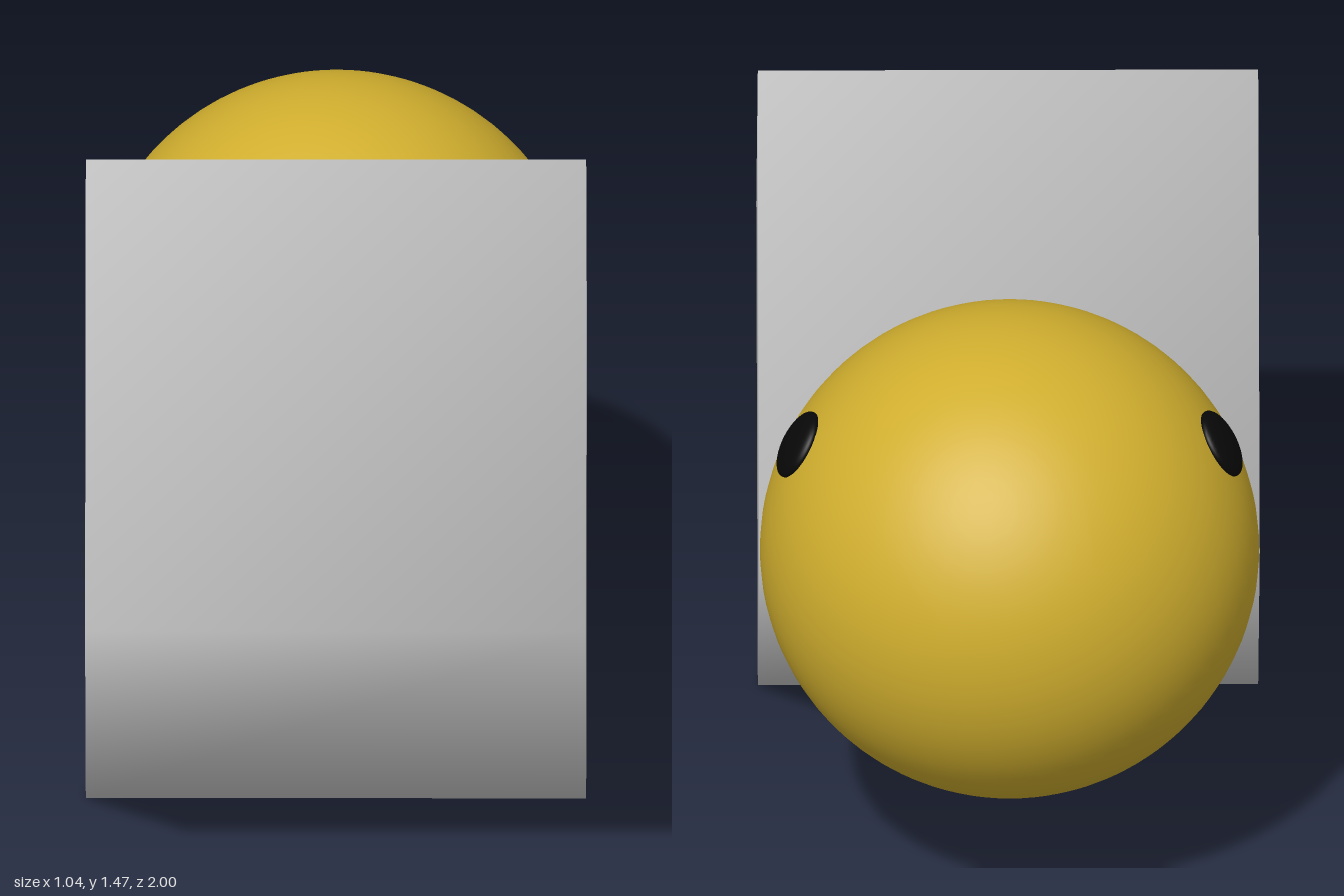
import * as THREE from 'three';

const SIDE = 1.042; // cube edge
const R = 0.52;     // ball radius

// Box whose corner normals are shared, so the shading runs softly over its edges
function smoothBox(size) {
  const geo = new THREE.BoxGeometry(size, size, size);
  const pos = geo.attributes.position, normal = new THREE.Vector3();
  for (let i = 0; i < pos.count; i++) {
    normal.fromBufferAttribute(pos, i).normalize();
    geo.attributes.normal.setXYZ(i, normal.x, normal.y, normal.z);
  }
  return geo;
}

export function createModel() {
  const model = new THREE.Group();
  model.name = 'ballHeadedCube';
  const add = (name, geo, color, parent) => {
    const mesh = new THREE.Mesh(geo, new THREE.MeshStandardMaterial({ color }));
    mesh.name = name;
    parent.add(mesh);
    return mesh;
  };

  // Cube body standing on one edge
  const body = add('body', smoothBox(SIDE), 0xcccccc, model);
  body.rotation.x = Math.PI / 4;
  body.position.set(0, SIDE / Math.SQRT2, 1 - SIDE / Math.SQRT2);

  // Round head sunk over the rear edge of the cube
  const head = new THREE.Group();
  head.name = 'head';
  head.position.set(0, 0.75, R - 1);
  model.add(head);
  add('headBall', new THREE.SphereGeometry(R, 64, 48), 0xd0ae2e, head);

  // Low domed eyes lying on the ball
  for (const side of [1, -1]) {
    const outward = new THREE.Vector3(side * 0.44, 0.27, -0.033).normalize();
    const eye = add(side > 0 ? 'leftEye' : 'rightEye', new THREE.SphereGeometry(0.075, 32, 20), 0x080808, head);
    eye.scale.set(1, 1, 0.33);
    eye.position.copy(outward).multiplyScalar(R - 0.002);
    eye.quaternion.setFromUnitVectors(new THREE.Vector3(0, 0, 1), outward);
  }
  return model;
}
